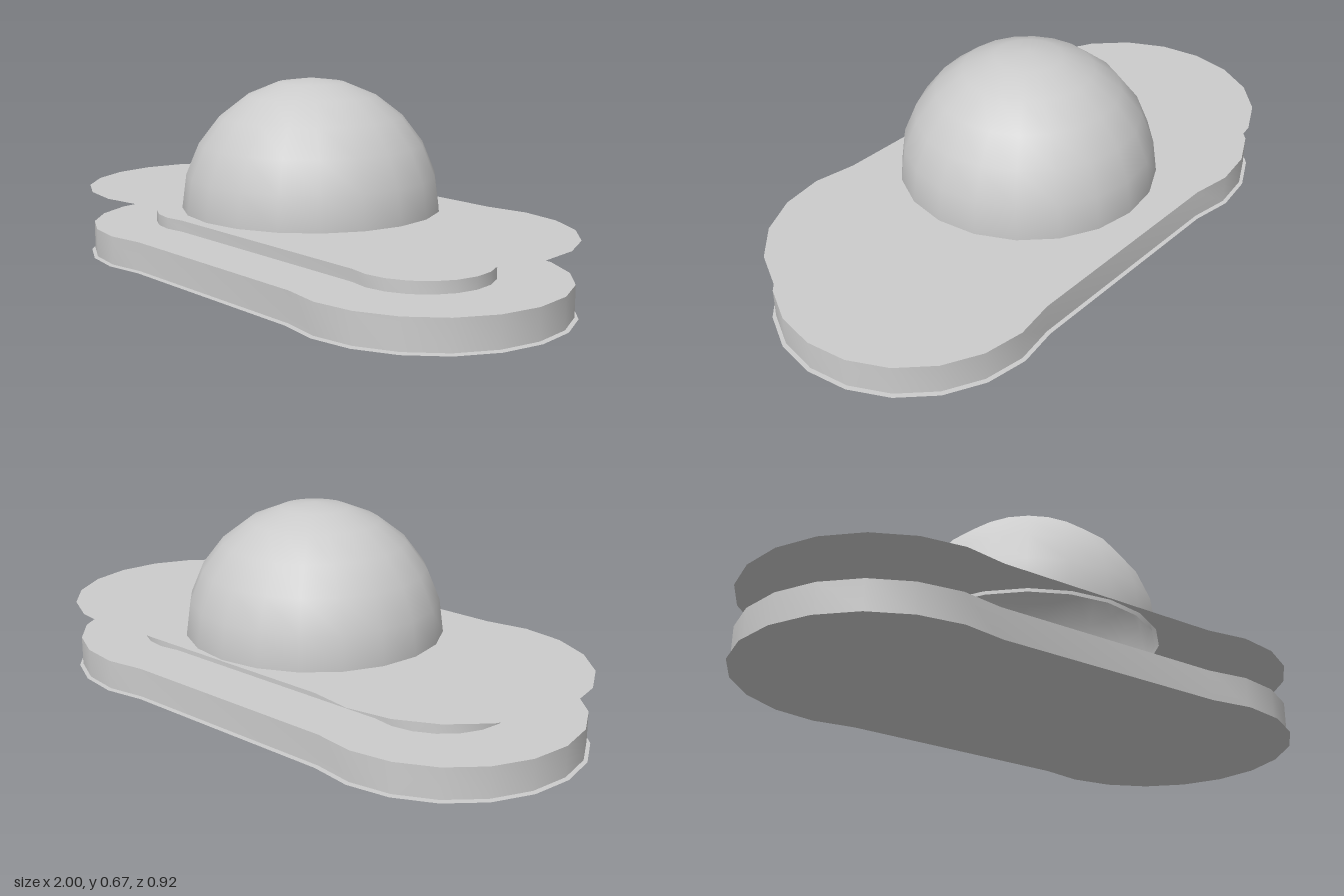
import * as THREE from 'three';
import { toCreasedNormals } from 'three/addons/utils/BufferGeometryUtils.js';

const SIDES = 20;
const STEP = (Math.PI * 2) / SIDES;

// Rounded-ended outline: two 20-sided lobes joined by straight, slightly pinched sides
function outline(centre, radius) {
  const points = [];
  for (const side of [1, -1]) {
    for (let i = -6; i <= 6; i++) {
      const a = i * STEP;
      points.push(new THREE.Vector2(side * (centre + radius * Math.cos(a)), side * radius * Math.sin(a)));
    }
  }
  return new THREE.Shape(points);
}

export function createModel() {
  const group = new THREE.Group();
  const material = new THREE.MeshStandardMaterial({ color: 0xcccccc, side: THREE.DoubleSide });

  const add = (name, geometry, y) => {
    const mesh = new THREE.Mesh(geometry, material);
    mesh.name = name;
    mesh.position.y = y;
    group.add(mesh);
  };
  const sheet = (shape) => new THREE.ShapeGeometry(shape).rotateX(-Math.PI / 2);
  const slab = (shape, depth) => toCreasedNormals(
    new THREE.ExtrudeGeometry(shape, { depth, bevelEnabled: false }).rotateX(-Math.PI / 2), 0.6);
  const dome = (radius) => new THREE.SphereGeometry(radius, SIDES, 6, 0, Math.PI * 2, 0, Math.PI / 2);

  // Base: thin bottom skin, main slab and raised step
  add('bottomSheet', sheet(outline(0.54, 0.46)), 0);
  add('baseSlab', slab(outline(0.54, 0.448), 0.1), 0.005);
  add('raisedStep', slab(outline(0.52, 0.231), 0.04), 0.105);

  // Floating brim with a round opening under the dome
  const brim = outline(0.54, 0.46);
  const hole = [];
  for (let i = 0; i < SIDES; i++) {
    hole.push(new THREE.Vector2(0.43 * Math.cos(-i * STEP), 0.43 * Math.sin(-i * STEP)));
  }
  brim.holes.push(new THREE.Path(hole));
  add('brimSheet', sheet(brim), 0.24);

  // Hollow dome with an inner lining
  add('outerDome', dome(0.43), 0.24);
  add('innerDome', dome(0.417), 0.235);

  return group;
}
